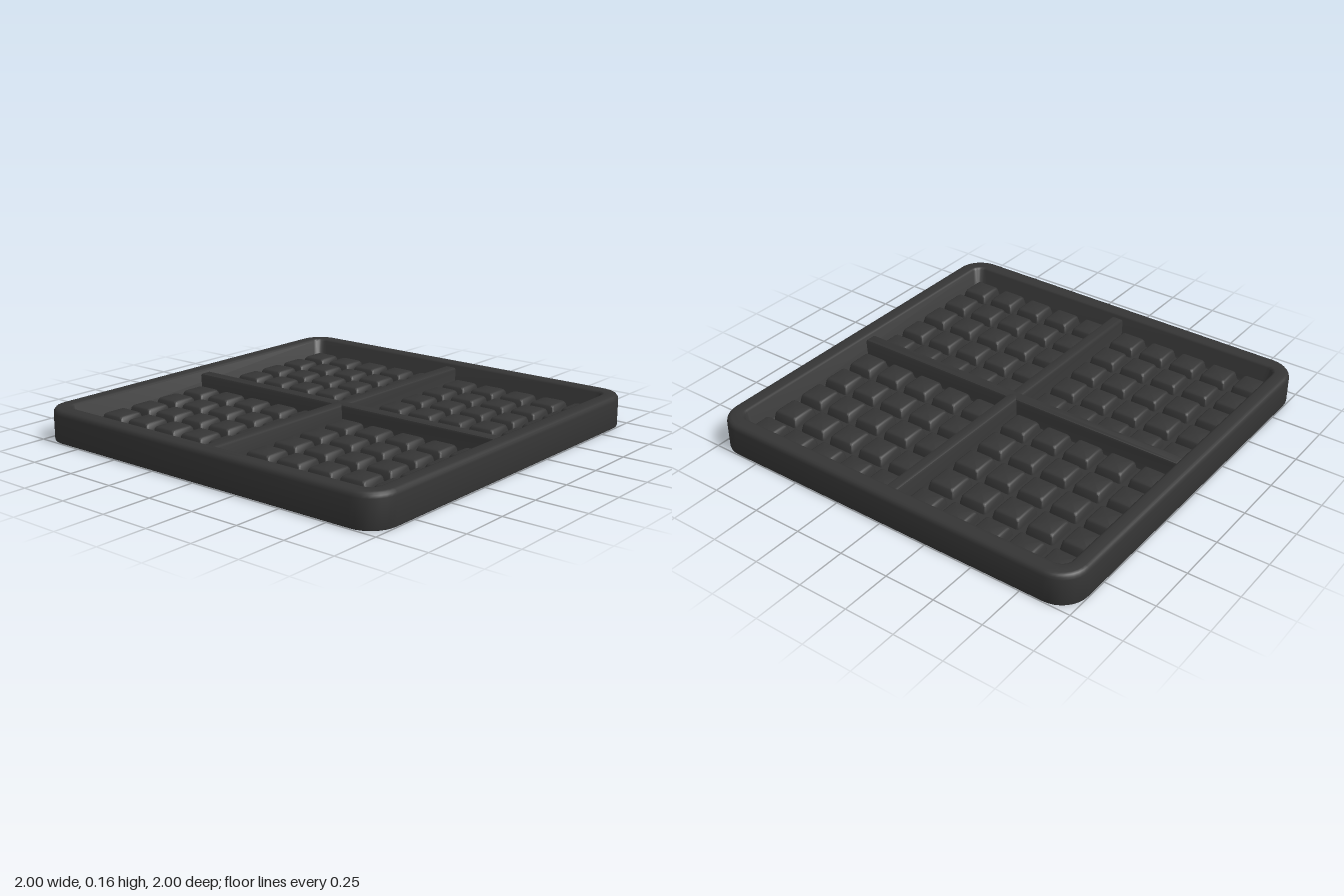
import * as THREE from 'three';
import { toCreasedNormals } from 'three/addons/utils/BufferGeometryUtils.js';

const FLOOR = 0.04;

// Solid made of stacked rounded rectangles; each profile entry is [inset, y].
function roundedStack(halfX, halfZ, radius, minRadius, profile, seg) {
  const positions = [], index = [];
  const n = 4 * (seg + 1);
  for (const [inset, y] of profile) {
    const r = Math.max(radius - inset, minRadius);
    for (let c = 0; c < 4; c++) {
      const sx = c === 0 || c === 3 ? 1 : -1;
      const sz = c < 2 ? 1 : -1;
      for (let k = 0; k <= seg; k++) {
        const a = (c + k / seg) * Math.PI / 2;
        positions.push(
          sx * (halfX - inset - r) + r * Math.cos(a), y,
          sz * (halfZ - inset - r) + r * Math.sin(a));
      }
    }
  }
  const last = profile.length - 1;
  for (let i = 0; i < last; i++) {
    for (let j = 0; j < n; j++) {
      const a = i * n + j, b = i * n + (j + 1) % n;
      index.push(a, a + n, b, b, a + n, b + n);
    }
  }
  // Bottom and top caps
  const bottom = positions.length / 3, top = bottom + 1;
  positions.push(0, profile[0][1], 0, 0, profile[last][1], 0);
  for (let j = 0; j < n; j++) {
    const k = (j + 1) % n;
    index.push(bottom, j, k, last * n + j, top, last * n + k);
  }
  const geometry = new THREE.BufferGeometry();
  geometry.setAttribute('position', new THREE.Float32BufferAttribute(positions, 3));
  geometry.setIndex(index);
  return toCreasedNormals(geometry, 0.6);
}

export function createModel() {
  const model = new THREE.Group();
  model.name = 'wafflePlate';
  const iron = new THREE.MeshStandardMaterial({ color: 0x353535 });
  iron.name = 'dark iron';

  function add(name, geometry, x = 0, z = 0, parent = model) {
    const mesh = new THREE.Mesh(geometry, iron);
    mesh.name = name;
    mesh.position.set(x, 0, z);
    parent.add(mesh);
    return mesh;
  }

  // Tray: outer wall, rounded rim, inner wall and sunken floor
  add('tray', roundedStack(1, 1, 0.135, 0.05, [
    [0.008, 0], [0.002, 0.003], [0, 0.01], [0, 0.135], [0.003, 0.147],
    [0.01, 0.156], [0.022, 0.16], [0.068, 0.16], [0.077, 0.157],
    [0.083, 0.15], [0.098, 0.05], [0.105, FLOOR],
  ], 8));

  // Crossing ribs that divide the tray into four pockets
  const ribProfile = [[0, FLOOR - 0.01], [0.008, 0.05], [0.013, 0.13],
    [0.017, 0.139], [0.024, 0.143]];
  add('ribAcross', roundedStack(0.93, 0.045, 0.002, 0.002, ribProfile, 1));
  add('ribAlong', roundedStack(0.045, 0.93, 0.002, 0.002, ribProfile, 1));

  // Five by five raised studs in each pocket
  const stud = roundedStack(0.075, 0.075, 0.016, 0.012, [
    [0, FLOOR - 0.005], [0.002, 0.045], [0.009, 0.075], [0.014, 0.083], [0.022, 0.087],
  ], 3);
  for (const sx of [-1, 1]) {
    for (const sz of [-1, 1]) {
      const pocket = new THREE.Group();
      pocket.name = (sz > 0 ? 'front' : 'back') + (sx > 0 ? 'Left' : 'Right') + 'Studs';
      model.add(pocket);
      for (let i = 0; i < 5; i++) {
        for (let j = 0; j < 5; j++) {
          add('stud', stud, sx * (0.118 + 0.178 * i), sz * (0.118 + 0.178 * j), pocket);
        }
      }
    }
  }
  return model;
}
